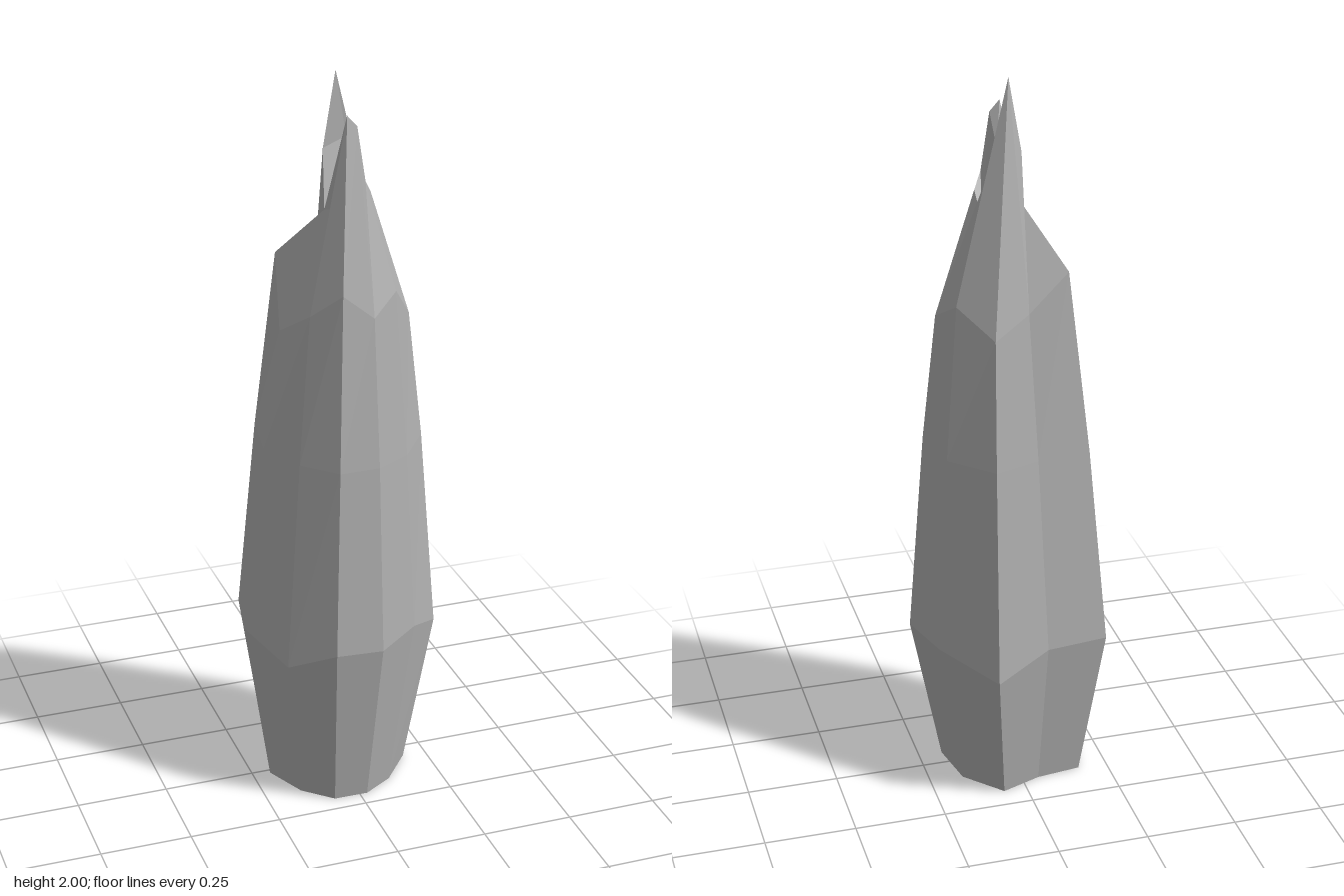
import * as THREE from 'three';

// Faceted closed bud: ten columns, listed clockwise from the back as seen from above
const belly = [
  [0.10, 0.40, -0.27], [0.23, 0.45, -0.13], [0.267, 0.43, 0.06], [0.155, 0.50, 0.20], [0.04, 0.48, 0.27],
  [-0.09, 0.485, 0.268], [-0.195, 0.42, 0.17], [-0.268, 0.47, 0.008], [-0.223, 0.45, -0.19], [-0.053, 0.45, -0.212],
];
const shoulder = [
  [0.08, 1.35, -0.165], [0.16, 1.42, -0.075], [0.185, 1.35, 0.05], [0.115, 1.45, 0.14], [0.04, 1.40, 0.185],
  [-0.045, 1.47, 0.185], [-0.112, 1.40, 0.12], [-0.16, 1.33, 0.015], [-0.13, 1.50, -0.11], [-0.02, 1.40, -0.125],
];
// Ragged petal tips, in the same order
const tips = [
  [0.006, 2.0, -0.02], [0.04, 1.82, -0.035], [0.07, 1.62, 0.0], [0.08, 1.69, 0.04], [0.055, 1.73, 0.07],
  [0.027, 1.88, 0.085], [0.0, 1.91, 0.085], [-0.025, 1.66, 0.065], [-0.04, 1.65, 0.025], [-0.03, 1.80, -0.015],
];
// Pairs of shoulder column and tip, walked round the bud
const walk = [
  [0, 0], [1, 1], [2, 2], [2, 3], [3, 4], [4, 4], [4, 5], [5, 6], [6, 6],
  [6, 7], [7, 7], [7, 8], [8, 8], [9, 9], [9, 0], [0, 0],
];
// Folded surface between the tips
const folds = [
  [0, 9, 1], [9, 8, 1], [8, 6, 1], [8, 7, 6], [6, 5, 1], [5, 2, 1], [5, 4, 2], [4, 3, 2],
];

function meshFrom(name, triangles, material) {
  const geometry = new THREE.BufferGeometry();
  geometry.setAttribute('position', new THREE.Float32BufferAttribute(triangles.flat(2), 3));
  geometry.computeVertexNormals();
  const mesh = new THREE.Mesh(geometry, material);
  mesh.name = name;
  return mesh;
}

// Quad between two columns; a repeated corner gives a single triangle
function quad(lowA, lowB, highA, highB) {
  const out = [];
  if (lowA !== lowB) out.push([lowB, lowA, highA]);
  if (highA !== highB) out.push([lowB, highA, highB]);
  return out;
}

function band(low, high) {
  return low.flatMap((p, i) => {
    const j = (i + 1) % low.length;
    return quad(p, low[j], high[i], high[j]);
  });
}

export function createModel() {
  const grey = new THREE.MeshStandardMaterial({ color: 0xb0b0b0, side: THREE.DoubleSide });
  grey.name = 'grey';
  const model = new THREE.Group();
  model.name = 'closedBud';

  const foot = belly.map(([x, , z]) => [x * 0.72 - 0.008, 0, z * 0.72 + 0.008]);
  // Slightly bulging ring halfway up
  const waist = belly.map(([x, y, z], i) => {
    const [sx, sy, sz] = shoulder[i];
    const t = (1 - y) / (sy - y);
    const bulge = 1.03;
    return [(x + (sx - x) * t) * bulge, 1, (z + (sz - z) * t) * bulge];
  });

  model.add(meshFrom('lowerBody', band(foot, belly), grey));
  model.add(meshFrom('upperBody', [...band(belly, waist), ...band(waist, shoulder)], grey));

  // Flat underside
  const base = foot.map((p, i) => [[0, 0, 0], p, foot[(i + 1) % foot.length]]);
  model.add(meshFrom('base', base, grey));

  // Pointed petals and the folds between them
  const petals = [];
  for (let i = 0; i < walk.length - 1; i++) {
    const [a, s] = walk[i];
    const [b, t] = walk[i + 1];
    petals.push(...quad(shoulder[a], shoulder[b], tips[s], tips[t]));
  }
  model.add(meshFrom('petalTips', petals, grey));
  model.add(meshFrom('innerFolds', folds.map((f) => f.map((i) => tips[i])), grey));
  return model;
}
